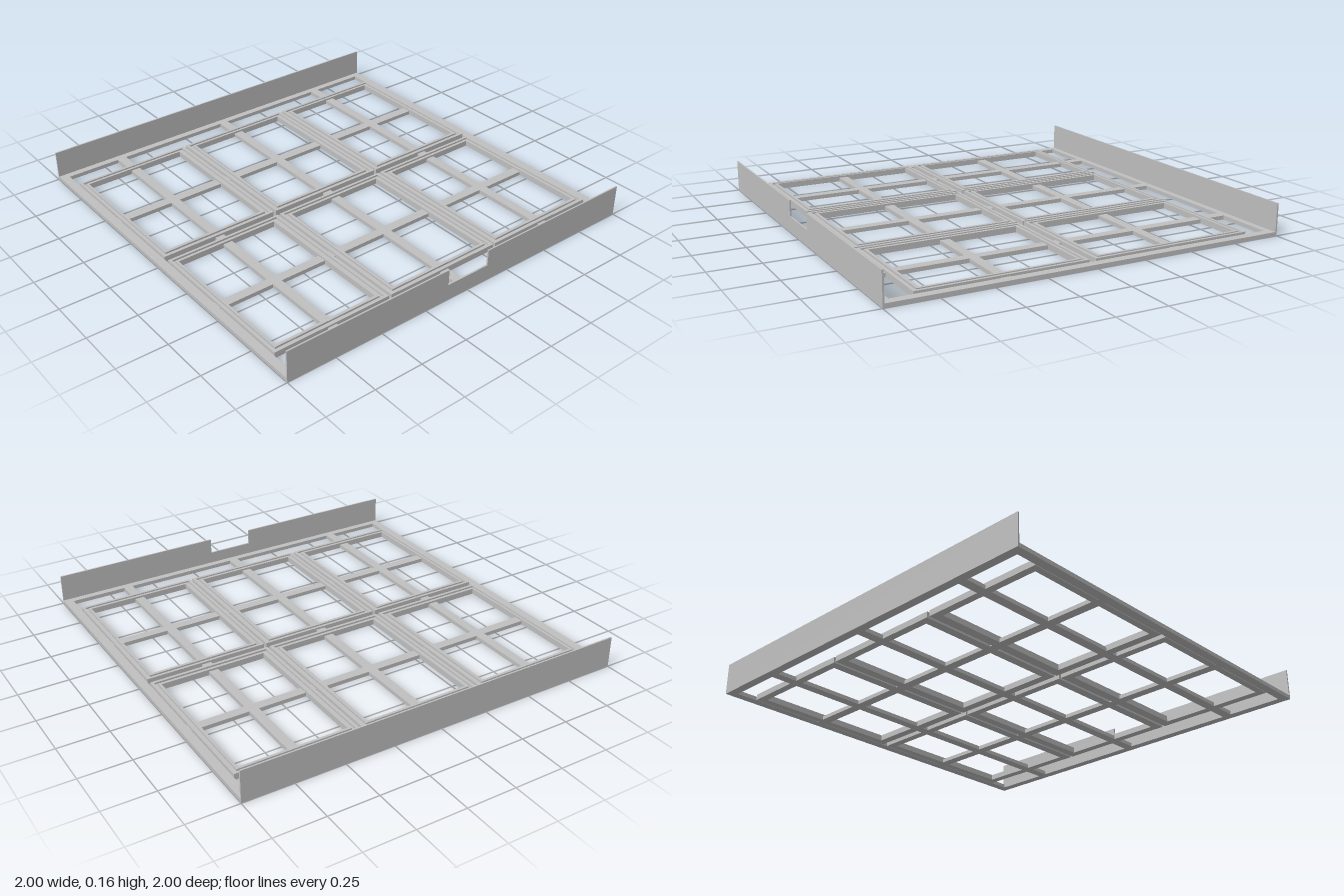
import * as THREE from 'three';

export function createModel() {
  const model = new THREE.Group();
  model.name = 'panelTray';
  const grey = new THREE.MeshStandardMaterial({ color: 0xc0c0c0 });
  grey.name = 'grey';

  // Box given by its limits on each axis
  function bar(parent, name, [x0, x1], [y0, y1], [z0, z1]) {
    const mesh = new THREE.Mesh(new THREE.BoxGeometry(x1 - x0, y1 - y0, z1 - z0), grey);
    mesh.position.set((x0 + x1) / 2, (y0 + y1) / 2, (z0 + z1) / 2);
    mesh.name = name;
    parent.add(mesh);
  }

  // Flat outline with a rectangular hole, raised from y0 to y1
  function ring(parent, name, [x0, x1, z0, z1], [a0, a1, b0, b1], y0, y1) {
    const rect = (Type, l, r, n, f) => new Type([[l, -f], [r, -f], [r, -n], [l, -n]]
      .map(([x, y]) => new THREE.Vector2(x, y)));
    const shape = rect(THREE.Shape, x0, x1, z0, z1);
    shape.holes.push(rect(THREE.Path, a0, a1, b0, b1));
    const geometry = new THREE.ExtrudeGeometry(shape, { depth: y1 - y0, bevelEnabled: false });
    geometry.rotateX(-Math.PI / 2).translate(0, y0, 0);
    const mesh = new THREE.Mesh(geometry, grey);
    mesh.name = name;
    parent.add(mesh);
  }

  // Base: outer frame and crossing bars
  const base = new THREE.Group();
  base.name = 'baseGrid';
  model.add(base);
  const inner = 0.957, top = 0.02;
  ring(base, 'outerFrame', [-1, 1, -1, 1], [-inner, inner, -inner, inner], 0, top);
  for (const x of [-0.65, 0, 0.645])
    bar(base, 'lengthBar', [x - 0.024, x + 0.024], [0, top], [-inner, inner]);
  for (const z of [-0.438, 0.428])
    bar(base, 'crossBar', [-inner, inner], [0, top], [z - 0.024, z + 0.024]);

  // Six rims with a groove between two low ridges
  const columns = [[-0.953, -0.332, -0.92, -0.38], [-0.317, 0.315, -0.273, 0.269], [0.328, 0.953, 0.374, 0.914]];
  const rows = [[-0.85, -0.018, -0.813, -0.061], [0.014, 0.848, 0.053, 0.807]];
  for (const [x0, x1, a0, a1] of columns) {
    for (const [z0, z1, b0, b1] of rows) {
      const rim = new THREE.Group();
      rim.name = 'panelRim';
      model.add(rim);
      const outer = [x0, x1, z0, z1], hole = [a0, a1, b0, b1];
      const between = t => outer.map((v, i) => v + (hole[i] - v) * t);
      ring(rim, 'outerRidge', outer, between(0.35), 0, 0.03);
      ring(rim, 'grooveFloor', between(0.35), between(0.65), 0, 0.021);
      ring(rim, 'innerRidge', between(0.65), hole, 0, 0.03);
    }
  }

  // Upright end walls, the front one notched
  bar(model, 'backWall', [-1, 1], [0, 0.16], [-1, -0.992]);
  const profile = [[-1, 0], [1, 0], [1, 0.16], [0.12, 0.16], [0.12, 0.08], [-0.12, 0.08], [-0.12, 0.16], [-1, 0.16]];
  const front = new THREE.Mesh(new THREE.ExtrudeGeometry(
    new THREE.Shape(profile.map(([x, y]) => new THREE.Vector2(x, y))),
    { depth: 0.008, bevelEnabled: false }), grey);
  front.position.z = 0.992;
  front.name = 'frontWall';
  model.add(front);

  return model;
}
